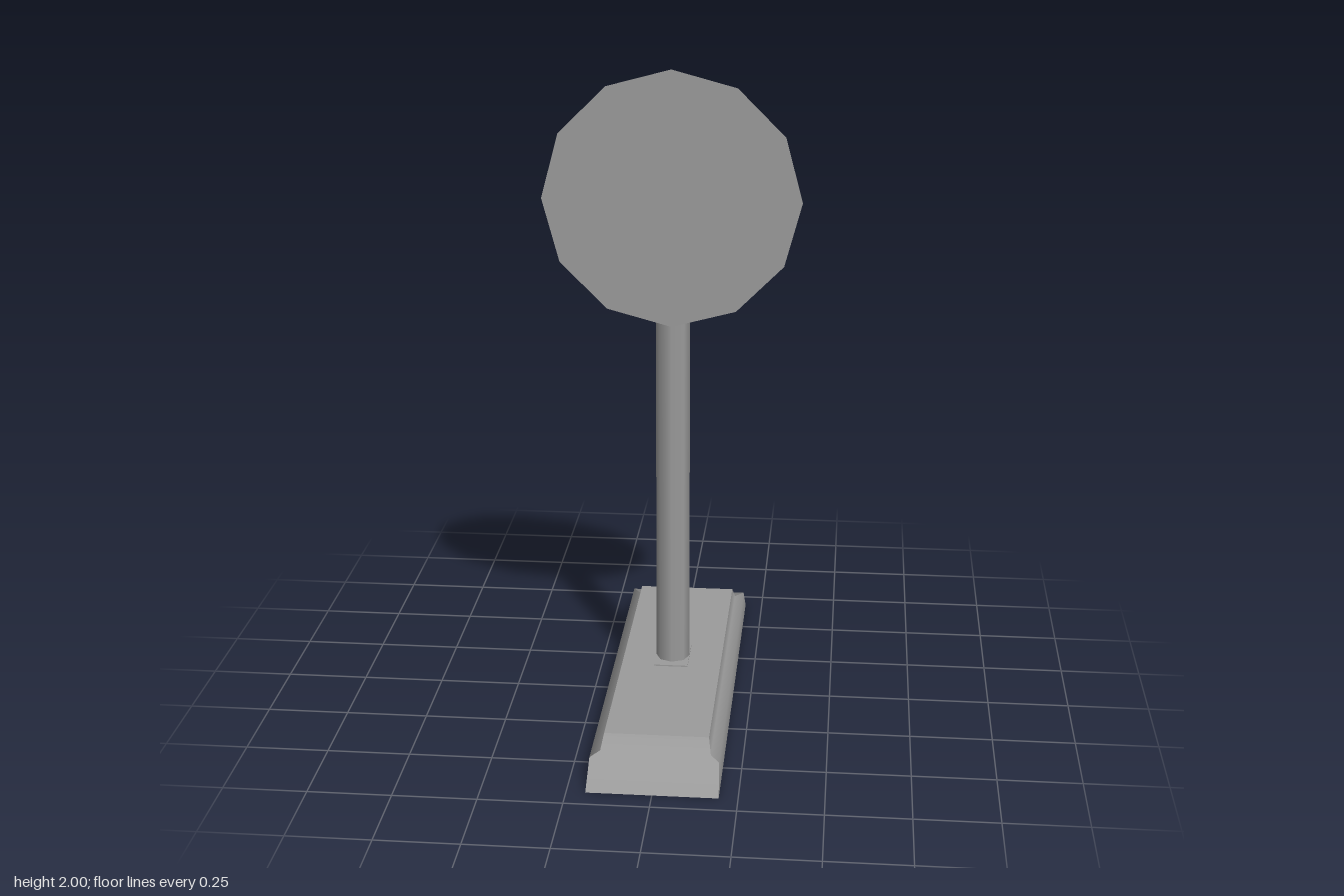
import * as THREE from 'three';

const grey = new THREE.MeshStandardMaterial({ color: 0x9b9b9b });
const greyDouble = new THREE.MeshStandardMaterial({ color: 0x9b9b9b, side: THREE.DoubleSide });

// Stepped base outline: [half width x, height y, half length z]
const rings = [[0.194, 0, 0.683], [0.19, 0.077, 0.612], [0.163, 0.08, 0.573], [0.155, 0.12, 0.54]];

function addMesh(group, name, geometry, material = grey) {
  const mesh = new THREE.Mesh(geometry, material);
  mesh.name = name;
  group.add(mesh);
  return mesh;
}

// One side of the base: smooth up the profile, sharp at the corners
function sideGeometry(cornerA, cornerB) {
  const pos = [], index = [];
  for (const [x, y, z] of rings) {
    pos.push(cornerA[0] * x, y, cornerA[1] * z, cornerB[0] * x, y, cornerB[1] * z);
  }
  for (let i = 0; i < rings.length - 1; i++) {
    const a = i * 2;
    index.push(a, a + 1, a + 3, a, a + 3, a + 2);
  }
  const geo = new THREE.BufferGeometry();
  geo.setAttribute('position', new THREE.Float32BufferAttribute(pos, 3));
  geo.setIndex(index);
  geo.computeVertexNormals();

  // Share one normal along each ring so the shading runs level
  const normals = geo.attributes.normal;
  const n = new THREE.Vector3(), m = new THREE.Vector3();
  for (let i = 0; i < normals.count; i += 2) {
    n.fromBufferAttribute(normals, i).add(m.fromBufferAttribute(normals, i + 1)).normalize();
    normals.setXYZ(i, n.x, n.y, n.z);
    normals.setXYZ(i + 1, n.x, n.y, n.z);
  }
  return geo;
}

function createBase() {
  const base = new THREE.Group();
  base.name = 'base';
  const corners = [[-1, 1], [1, 1], [1, -1], [-1, -1]];
  ['frontEnd', 'leftSide', 'backEnd', 'rightSide'].forEach((name, i) =>
    addMesh(base, name, sideGeometry(corners[i], corners[(i + 1) % 4])));

  // Flat top and underside
  const [w, h, l] = rings[3];
  addMesh(base, 'baseTop', new THREE.PlaneGeometry(w * 2, l * 2).rotateX(-Math.PI / 2).translate(0, h, 0));
  addMesh(base, 'baseUnderside', new THREE.PlaneGeometry(rings[0][0] * 2, rings[0][2] * 2).rotateX(Math.PI / 2));

  // Thin socket plate around the foot of the post
  addMesh(base, 'socketPlate', new THREE.BoxGeometry(0.105, 0.02, 0.155)).position.y = h - 0.006;
  return base;
}

export function createModel() {
  const model = new THREE.Group();
  model.name = 'signPost';
  model.add(createBase());

  // Round post
  addMesh(model, 'post', new THREE.CylinderGeometry(0.052, 0.052, 1.39, 8)).position.y = 0.795;

  // Thin twelve-sided sign on the front of the post
  addMesh(model, 'signDisc', new THREE.CircleGeometry(0.386, 12), greyDouble).position.set(0, 1.614, 0.055);
  return model;
}
